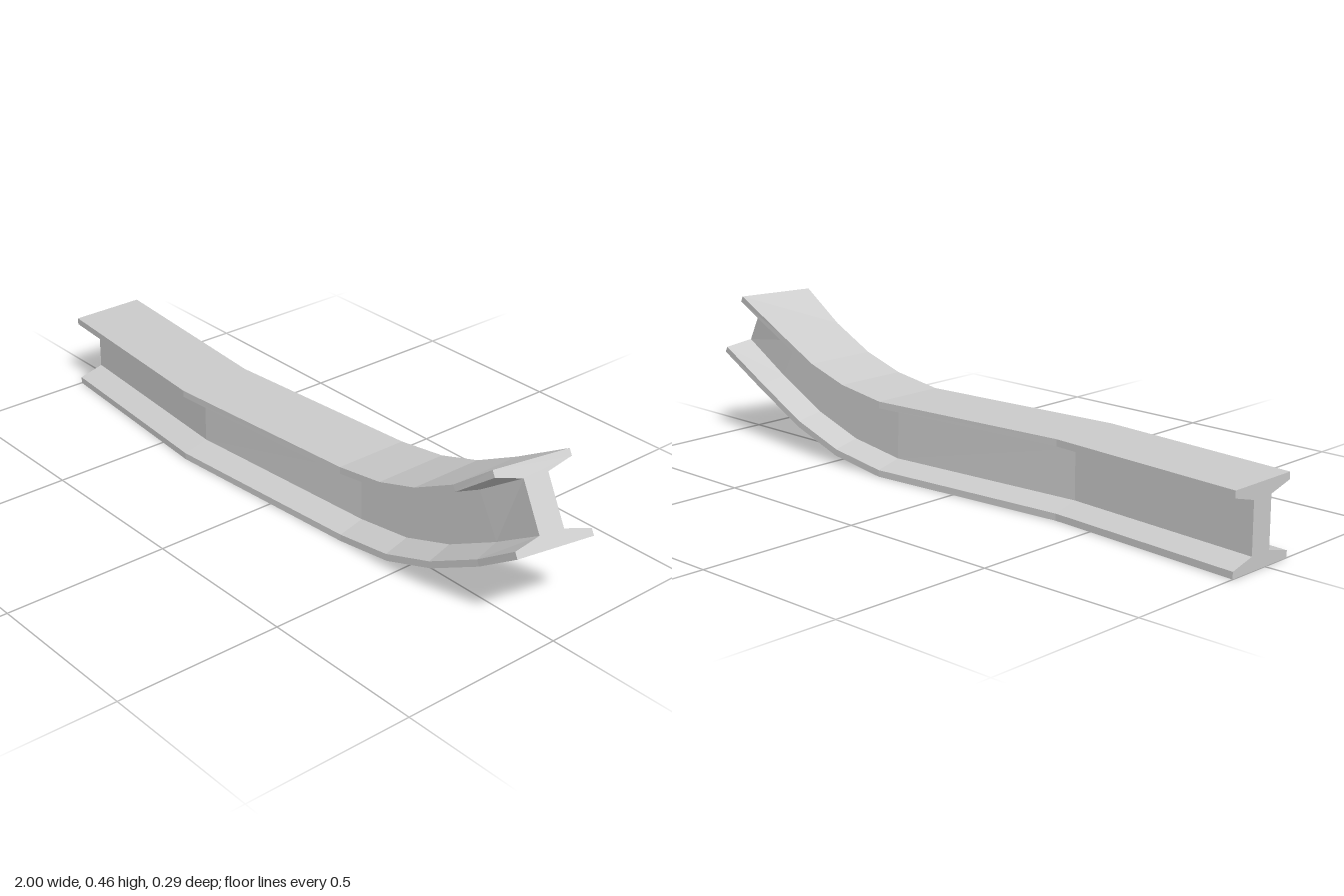
import * as THREE from 'three';

// Half of the I-section (front half): u across (1 = flange edge), v up (0..1)
const half = [[1, 0], [1, 0.088], [0.32, 0.175], [0.32, 0.82], [1, 0.912], [1, 1]];
const section = [...half, ...half.slice().reverse().map(([u, v]) => [-u, v])];
const HALF_WIDTH = 0.115;

// Stations along the beam: bottom x, y, z; top x, y, z; sideways slant of x
const stations = [
  [-1, 0, -0.02, -1, 0.23, -0.02, 0],
  [-0.37, 0, 0.029, -0.37, 0.23, 0.029, 0],
  [0.285, 0, -0.019, 0.275, 0.23, -0.022, 0],
  [0.475, 0.027, -0.018, 0.435, 0.253, -0.022, 0],
  [0.645, 0.085, -0.018, 0.57, 0.295, -0.022, 0],
  [0.82, 0.175, -0.018, 0.71, 0.365, -0.022, 0],
  [0.978, 0.264, -0.01, 0.86, 0.46, -0.029, 0.022],
];

function createBeamGeometry() {
  const n = section.length;
  const positions = [];
  const index = [];

  for (const [bx, by, bz, tx, ty, tz, slant] of stations) {
    for (const [u, v] of section) {
      positions.push(
        bx + (tx - bx) * v - u * slant,
        by + (ty - by) * v,
        bz + (tz - bz) * v + u * HALF_WIDTH
      );
    }
  }

  // Side walls between neighbouring stations
  for (let s = 0; s < stations.length - 1; s++) {
    for (let i = 0; i < n; i++) {
      const a = s * n + i;
      const b = s * n + ((i + 1) % n);
      index.push(a, a + n, b + n, a, b + n, b);
    }
  }

  // End caps
  const outline = section.map(([u, v]) => new THREE.Vector2(u, v));
  const last = (stations.length - 1) * n;
  for (const [a, b, c] of THREE.ShapeUtils.triangulateShape(outline, [])) {
    index.push(a, b, c);
    index.push(last + a, last + c, last + b);
  }

  const indexed = new THREE.BufferGeometry();
  indexed.setAttribute('position', new THREE.Float32BufferAttribute(positions, 3));
  indexed.setIndex(index);
  const geometry = indexed.toNonIndexed();
  geometry.computeVertexNormals();
  return geometry;
}

export function createModel() {
  const group = new THREE.Group();
  group.name = 'bentBeam';
  const material = new THREE.MeshStandardMaterial({ color: 0xcccccc, flatShading: true });
  const beam = new THREE.Mesh(createBeamGeometry(), material);
  beam.name = 'iBeam';
  group.add(beam);
  return group;
}
